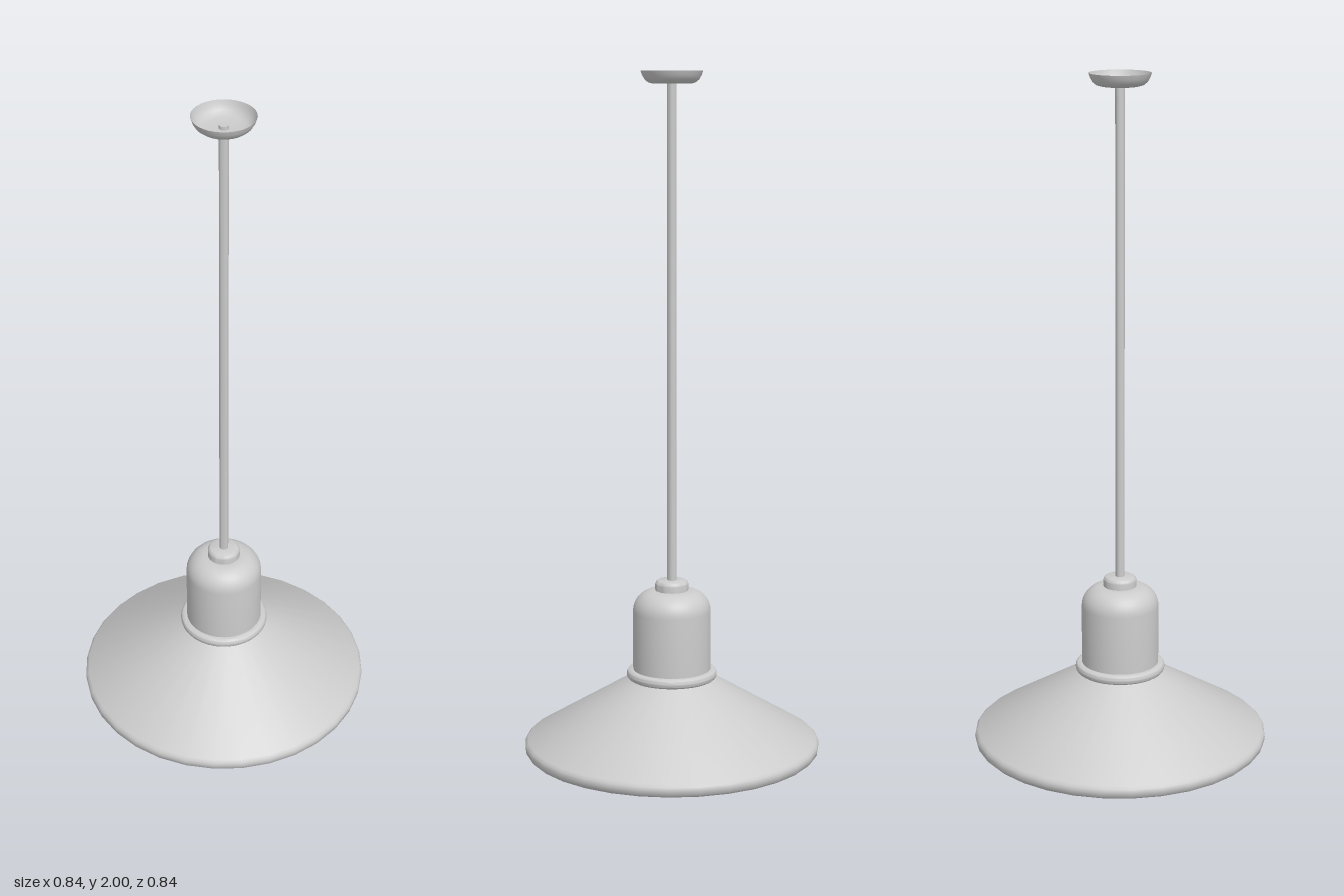
import * as THREE from 'three';
import { toCreasedNormals } from 'three/addons/utils/BufferGeometryUtils.js';

const material = new THREE.MeshStandardMaterial({ color: 0xcccccc, side: THREE.DoubleSide });

// Revolve a profile of [radius, height] pairs around the y axis
function turned(name, profile, sides = 32, crease = 0.7) {
  const points = profile.map(([r, y]) => new THREE.Vector2(r, y));
  const geometry = toCreasedNormals(new THREE.LatheGeometry(points, sides), crease);
  const mesh = new THREE.Mesh(geometry, material);
  mesh.name = name;
  return mesh;
}

// Profile points along a circular arc, angles in degrees
function arc(r, y, radius, from, to, steps = 8) {
  return Array.from({ length: steps + 1 }, (_, i) => {
    const a = THREE.MathUtils.degToRad(from + (to - from) * i / steps);
    return [Math.max(0, r + radius * Math.cos(a)), y + radius * Math.sin(a)];
  });
}

export function createModel() {
  const lamp = new THREE.Group();
  lamp.name = 'pendantLamp';

  // Ceiling cup, open at the top
  lamp.add(turned('canopy', [
    [0, 1.965], [0.052, 1.965], [0.064, 1.968], [0.074, 1.976], [0.081, 1.988], [0.085, 2],
  ]));

  // Suspension rod
  lamp.add(turned('rod', [[0, 0.57], [0.013, 0.57], [0.013, 1.975], [0, 1.975]], 16));

  // Small cap where the rod meets the housing
  lamp.add(turned('rodCap', [
    [0.047, 0.545], ...arc(0.035, 0.57, 0.012, 0, 90, 4), [0, 0.582],
  ]));

  // Cylindrical housing with a rounded shoulder, open below
  lamp.add(turned('housing', [
    [0.11, 0.3], ...arc(0.05, 0.493, 0.06, 0, 90), [0, 0.553],
  ], 48));

  // Rounded collar between the housing and the shade
  lamp.add(turned('collar', [
    [0.11, 0.296], ...arc(0.116, 0.308, 0.012, -90, 0, 4),
    ...arc(0.116, 0.312, 0.012, 0, 90, 4), [0.11, 0.324],
  ], 48));

  // Conical shade with a thin wall and a rolled rim turned inward
  lamp.add(turned('shade', [
    [0.11, 0.305], [0.12, 0.298], [0.412, 0.122], [0.419, 0.115], [0.421, 0.106],
    [0.419, 0.093], [0.412, 0.086], [0.4, 0.085], [0.388, 0.089], [0.383, 0.098],
    [0.386, 0.118], [0.11, 0.284], [0.11, 0.305],
  ], 32, 0.8));

  // Pear-shaped bulb reaching up into the housing
  lamp.add(turned('bulb', [
    ...arc(0, 0.096, 0.096, -90, 15, 14),
    [0.086, 0.157], [0.071, 0.215], [0.056, 0.265], [0.044, 0.31], [0.04, 0.35],
  ], 32, 1));

  // Socket holding the bulb inside the housing
  lamp.add(turned('socket', [[0.04, 0.345], [0.048, 0.345], [0.048, 0.4], [0, 0.4]]));

  return lamp;
}
